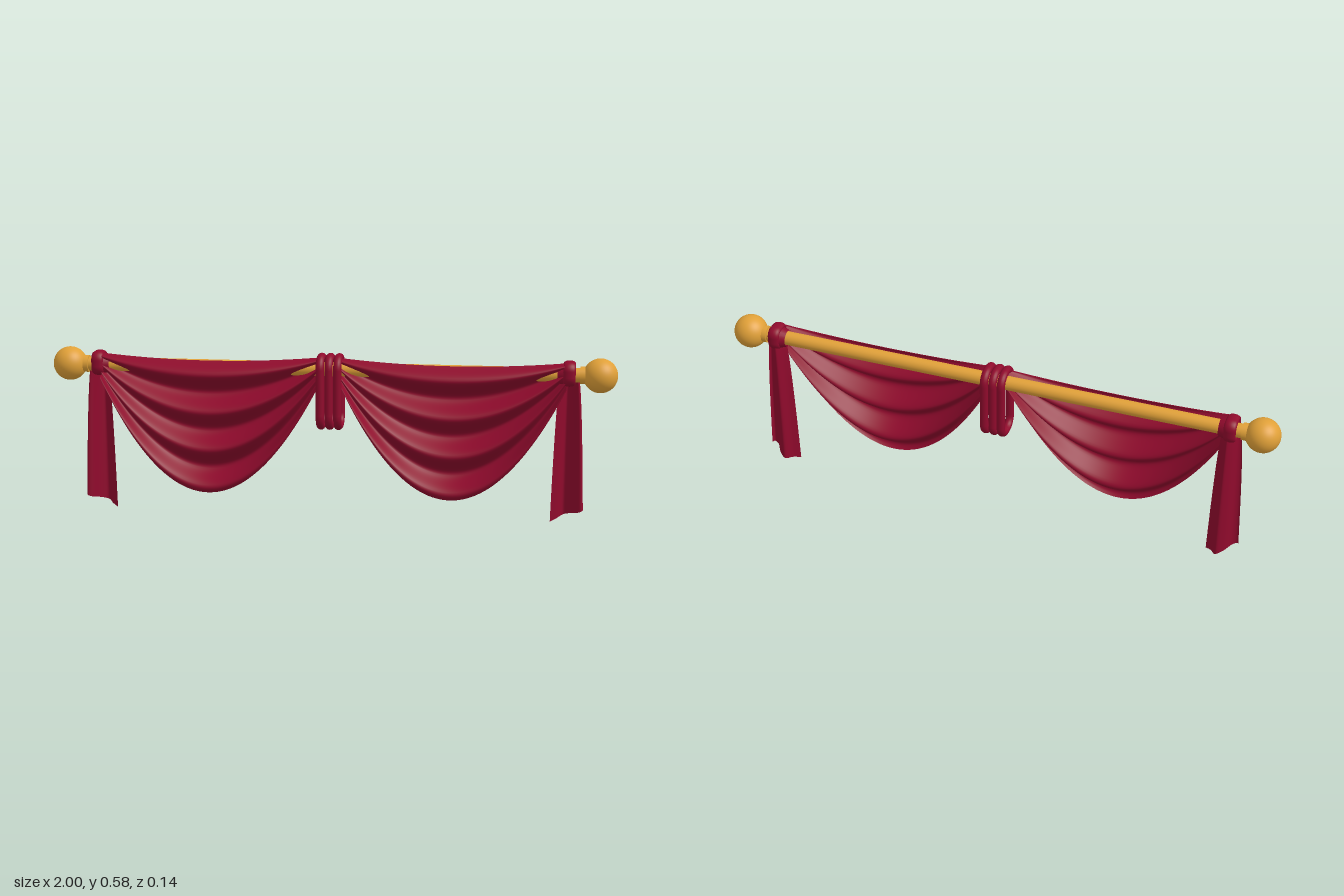
import * as THREE from 'three';

const fabric = new THREE.MeshStandardMaterial({ color: 0x8f0a2c, side: THREE.DoubleSide });
fabric.name = 'crimson fabric';
const gold = new THREE.MeshStandardMaterial({ color: 0xe0a038 });
gold.name = 'golden metal';

const ROD_Y = 0.525, ROD_Z = -0.01;

function add(parent, name, geometry, material) {
  const mesh = new THREE.Mesh(geometry, material);
  mesh.name = name;
  parent.add(mesh);
  return mesh;
}

// Sheet whose points follow fn(a, b), both running 0..1
function sheet(fn, na, nb) {
  const geo = new THREE.PlaneGeometry(1, 1, na, nb);
  const pos = geo.attributes.position;
  for (let i = 0; i < pos.count; i++) {
    const p = fn(pos.getX(i) + 0.5, 0.5 - pos.getY(i));
    pos.setXYZ(i, p[0], p[1], p[2]);
  }
  geo.computeVertexNormals();
  return geo;
}

// Fabric band following a rounded rectangle in the y-z plane, widened along x
function loop(halfH, halfD, c, radius, widen) {
  const s = new THREE.Shape();
  s.moveTo(-halfD + c, -halfH);
  s.lineTo(halfD - c, -halfH);
  s.absarc(halfD - c, -halfH + c, c, -Math.PI / 2, 0);
  s.lineTo(halfD, halfH - c);
  s.absarc(halfD - c, halfH - c, c, 0, Math.PI / 2);
  s.lineTo(-halfD + c, halfH);
  s.absarc(-halfD + c, halfH - c, c, Math.PI / 2, Math.PI);
  s.lineTo(-halfD, -halfH + c);
  s.absarc(-halfD + c, -halfH + c, c, Math.PI, Math.PI * 1.5);
  const pts = s.getSpacedPoints(64).slice(0, -1).map(p => new THREE.Vector3(0, p.y, p.x));
  const path = new THREE.CatmullRomCurve3(pts, true);
  return new THREE.TubeGeometry(path, 96, radius, 16, true).scale(widen, 1, 1);
}

// Swag: deep wavy folds that sag in the middle and gather at the ends
function swagPoint(a, b) {
  const u = a * 2 - 1;
  const sag = 1 - u * u;
  const top = 0.568 - 0.018 * sag;
  const bottom = 0.475 - 0.393 * sag;
  const wave = Math.cos((Math.PI * 2 * (b - 0.1)) / 0.2865);
  const z = 0.009 + 0.026 * sag + (0.012 + 0.023 * sag) * wave;
  return [0.43 + u * 0.395, top + (bottom - top) * b, z];
}

// Tail: pleated strip with a slanted hem
const pleat = new THREE.CatmullRomCurve3([
  [0.892, -0.012], [0.886, 0], [0.87, -0.006], [0.848, -0.038],
  [0.822, -0.056], [0.8, -0.028], [0.778, -0.01],
].map(([x, z]) => new THREE.Vector3(x, 0, z)));
function tailPoint(a, b) {
  const p = pleat.getPoint(a);
  const spread = 0.5 + 0.5 * Math.pow(b, 0.5);
  const hem = 0.001 + (p.x - 0.778) * 0.39;
  return [
    0.835 + (p.x - 0.835) * spread,
    ROD_Y + (hem - ROD_Y) * b,
    -0.023 + (p.z + 0.023) * (0.85 + 0.15 * b),
  ];
}

export function createModel() {
  const root = new THREE.Group();
  root.name = 'swagValance';

  // Rod
  const rod = add(root, 'rod', new THREE.CylinderGeometry(0.025, 0.025, 1.8, 32), gold);
  rod.rotation.z = Math.PI / 2;
  rod.position.set(0, ROD_Y, ROD_Z);

  // Three loops of cloth around the middle of the rod
  const wrap = new THREE.Group();
  wrap.name = 'centreWrap';
  root.add(wrap);
  const loopGeo = loop(0.123, 0.0475, 0.04, 0.0125, 1.16);
  for (const i of [-1, 0, 1]) {
    add(wrap, 'wrapLoop', loopGeo, fabric).position.set(i * 0.031, 0.446, ROD_Z);
  }

  const swagGeo = sheet(swagPoint, 64, 80);
  const tailGeo = sheet(tailPoint, 36, 16);
  const knotGeo = loop(0.033, 0.034, 0.022, 0.011, 1.95);
  for (const side of [1, -1]) {
    const half = new THREE.Group();
    half.name = side > 0 ? 'leftHalf' : 'rightHalf';
    half.scale.x = side;
    root.add(half);

    // Finial and its collar
    add(half, 'finial', new THREE.SphereGeometry(0.06, 40, 28), gold).position.set(0.94, ROD_Y, ROD_Z);
    const collar = add(half, 'finialCollar', new THREE.CylinderGeometry(0.03, 0.03, 0.02, 32), gold);
    collar.rotation.z = Math.PI / 2;
    collar.position.set(0.88, ROD_Y, ROD_Z);

    add(half, 'swag', swagGeo, fabric);
    add(half, 'tail', tailGeo, fabric);

    // Knot at the outer end, with the gathered cloth beside it
    add(half, 'knot', knotGeo, fabric).position.set(0.834, 0.53, ROD_Z - 0.003);
    const gather = add(half, 'gather', new THREE.CylinderGeometry(0.03, 0.04, 0.03, 24, 1, true), fabric);
    gather.rotation.z = Math.PI / 2;
    gather.position.set(0.808, 0.526, ROD_Z - 0.003);
  }
  return root;
}
